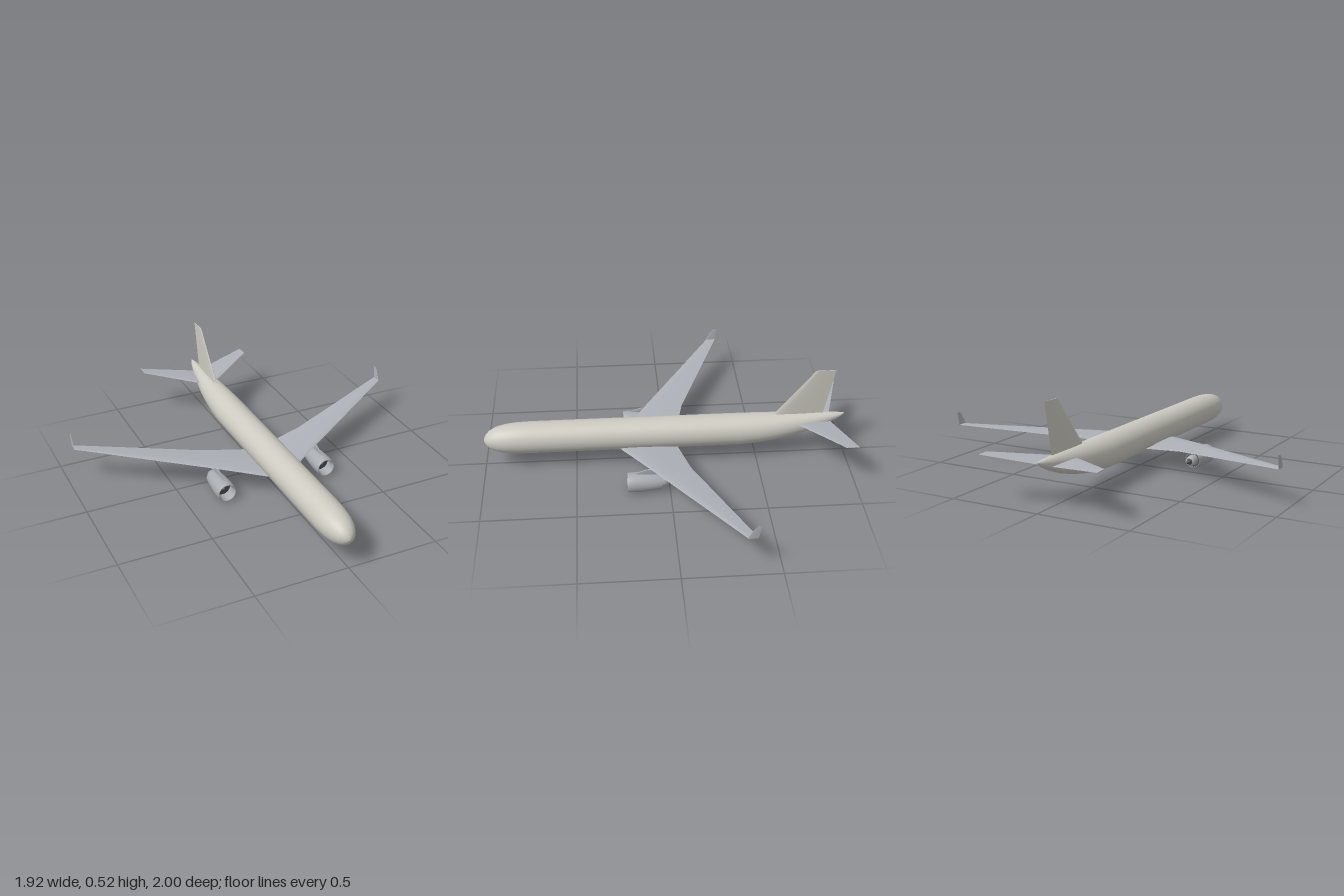
import * as THREE from 'three';
import { toCreasedNormals } from 'three/addons/utils/BufferGeometryUtils.js';

const mat = (color) => new THREE.MeshStandardMaterial({ color });
const bodyMat = mat(0xcccac0);
const wingMat = mat(0xaeb2b8);
const engineMat = mat(0xa8abaf);
engineMat.side = THREE.DoubleSide;
const darkMat = mat(0x55575a);

// Skin a closed solid over rings of points; faces are turned outward whatever the ring order
function loft(rings, crease) {
  const n = rings[0].length;
  const pts = rings.flat();
  const tris = [];
  for (let i = 0; i < rings.length - 1; i++) {
    for (let j = 0; j < n; j++) {
      const a = i * n + j, b = i * n + (j + 1) % n;
      tris.push([a, b, a + n], [b, b + n, a + n]);
    }
  }
  const last = (rings.length - 1) * n;
  for (let j = 1; j < n - 1; j++) tris.push([0, j + 1, j], [last, last + j, last + j + 1]);
  let volume = 0;
  for (const [a, b, c] of tris) volume += pts[a].dot(pts[b].clone().cross(pts[c]));
  if (volume < 0) tris.forEach((t) => t.reverse());
  const geo = new THREE.BufferGeometry().setFromPoints(pts);
  geo.setIndex(tris.flat());
  geo.computeVertexNormals();
  return crease ? toCreasedNormals(geo, crease) : geo;
}

// Aerofoil ring: chord from zFront to zBack, thickness along x (upright) or y (flat)
function aerofoil({ x, y, front, back, thick }, upright) {
  const ring = [];
  const N = 12;
  for (let i = 0; i < 2 * N; i++) {
    const a = (i / N) * Math.PI;
    const t = (1 - Math.cos(a)) / 2;
    const shape = 1.48 * Math.sqrt(t) - 0.63 * t - 1.76 * t * t + 1.42 * t ** 3 - 0.51 * t ** 4;
    const h = (i < N ? 1 : -1) * Math.max(shape, 0) * thick;
    const z = front + (back - front) * t;
    ring.push(upright ? new THREE.Vector3(x + h, y, z) : new THREE.Vector3(x, y + h, z));
  }
  return ring;
}

const surface = (sections, upright = false) =>
  loft(sections.map((s) => aerofoil(s, upright)), 0.7);

function add(parent, name, geometry, material) {
  const mesh = new THREE.Mesh(geometry, material);
  mesh.name = name;
  parent.add(mesh);
  return mesh;
}

// Surface of revolution about the z axis from [radius, z] pairs
function turned(profile) {
  const geo = new THREE.LatheGeometry(profile.map(([r, z]) => new THREE.Vector2(r, z)), 32);
  return geo.rotateX(Math.PI / 2);
}

// Stations: z, half width, top, bottom
function fuselage() {
  const stations = [
    [-0.985, 0.004, 0.247, 0.239], [-0.96, 0.014, 0.249, 0.219], [-0.9, 0.029, 0.252, 0.188],
    [-0.8, 0.048, 0.254, 0.149], [-0.7, 0.064, 0.255, 0.12], [-0.6, 0.076, 0.255, 0.1],
    [-0.5, 0.084, 0.255, 0.087], [-0.4, 0.088, 0.255, 0.08], [0, 0.088, 0.255, 0.08],
    [0.4, 0.088, 0.255, 0.08], [0.74, 0.088, 0.255, 0.08], [0.82, 0.086, 0.252, 0.081],
    [0.88, 0.08, 0.245, 0.086], [0.93, 0.068, 0.233, 0.096], [0.965, 0.051, 0.214, 0.111],
    [0.985, 0.034, 0.195, 0.127], [0.996, 0.017, 0.177, 0.143], [1, 0.003, 0.163, 0.157],
  ];
  return loft(stations.map(([z, w, top, bottom]) =>
    Array.from({ length: 40 }, (_, i) => {
      const a = (i / 40) * Math.PI * 2;
      return new THREE.Vector3(w * Math.cos(a), (top + bottom) / 2 + (top - bottom) / 2 * Math.sin(a), z);
    })));
}

function engine() {
  const g = new THREE.Group();
  // Cowling: outer skin, rounded lip, then the duct inside
  add(g, 'cowling', turned([
    [0.038, 0.05], [0.042, 0.045], [0.049, 0.1], [0.053, 0.15], [0.054, 0.19], [0.053, 0.215],
    [0.05, 0.228], [0.047, 0.23], [0.044, 0.224], [0.042, 0.2], [0.043, 0.16],
  ]), engineMat);
  add(g, 'fan', turned([[0, 0.155], [0.044, 0.156], [0.044, 0.165], [0.014, 0.166], [0.009, 0.183], [0, 0.19]]), darkMat);
  add(g, 'fanDuctRear', turned([[0.001, 0.052], [0.041, 0.053], [0.041, 0.06]]), darkMat);
  add(g, 'core', turned([[0, 0.01], [0.023, 0.01], [0.028, 0.03], [0.031, 0.055]]), engineMat);
  add(g, 'exhaustCone', turned([[0, -0.022], [0.008, -0.011], [0.017, 0.011]]), darkMat);
  return g;
}

export function createModel() {
  const model = new THREE.Group();
  model.name = 'airliner';
  add(model, 'fuselage', fuselage(), bodyMat);

  add(model, 'tailFin', surface([
    { x: 0, y: 0.225, front: -0.57, back: -0.862, thick: 0.015 },
    { x: 0, y: 0.523, front: -0.81, back: -0.92, thick: 0.005 },
  ], true), bodyMat);

  for (const s of [1, -1]) {
    const side = s > 0 ? 'left' : 'right';

    // Swept wing with a kinked trailing edge
    add(model, side + 'Wing', surface([
      { x: s * 0.035, y: 0.109, front: 0.28, back: -0.05, thick: 0.02 },
      { x: s * 0.3, y: 0.137, front: 0.106, back: -0.11, thick: 0.012 },
      { x: s * 0.955, y: 0.194, front: -0.322, back: -0.375, thick: 0.003 },
    ]), wingMat);

    add(model, side + 'Winglet', surface([
      { x: s * 0.955, y: 0.192, front: -0.318, back: -0.372, thick: 0.002 },
      { x: s * 0.957, y: 0.25, front: -0.348, back: -0.382, thick: 0.0015 },
      { x: s * 0.957, y: 0.266, front: -0.366, back: -0.388, thick: 0.001 },
    ], true), wingMat);

    add(model, side + 'Tailplane', surface([
      { x: s * 0.015, y: 0.209, front: -0.692, back: -0.903, thick: 0.01 },
      { x: s * 0.333, y: 0.246, front: -0.93, back: -1, thick: 0.003 },
    ]), wingMat);

    const pod = engine();
    pod.name = side + 'Engine';
    pod.position.set(s * 0.297, 0.054, 0);
    model.add(pod);

    // Pylon joining the cowling to the underside of the wing
    add(model, side + 'Pylon', surface([
      { x: s * 0.297, y: 0.088, front: 0.19, back: 0.01, thick: 0.007 },
      { x: s * 0.297, y: 0.112, front: 0.19, back: -0.02, thick: 0.007 },
      { x: s * 0.297, y: 0.134, front: 0.13, back: -0.05, thick: 0.007 },
    ], true), engineMat);
  }
  return model;
}
